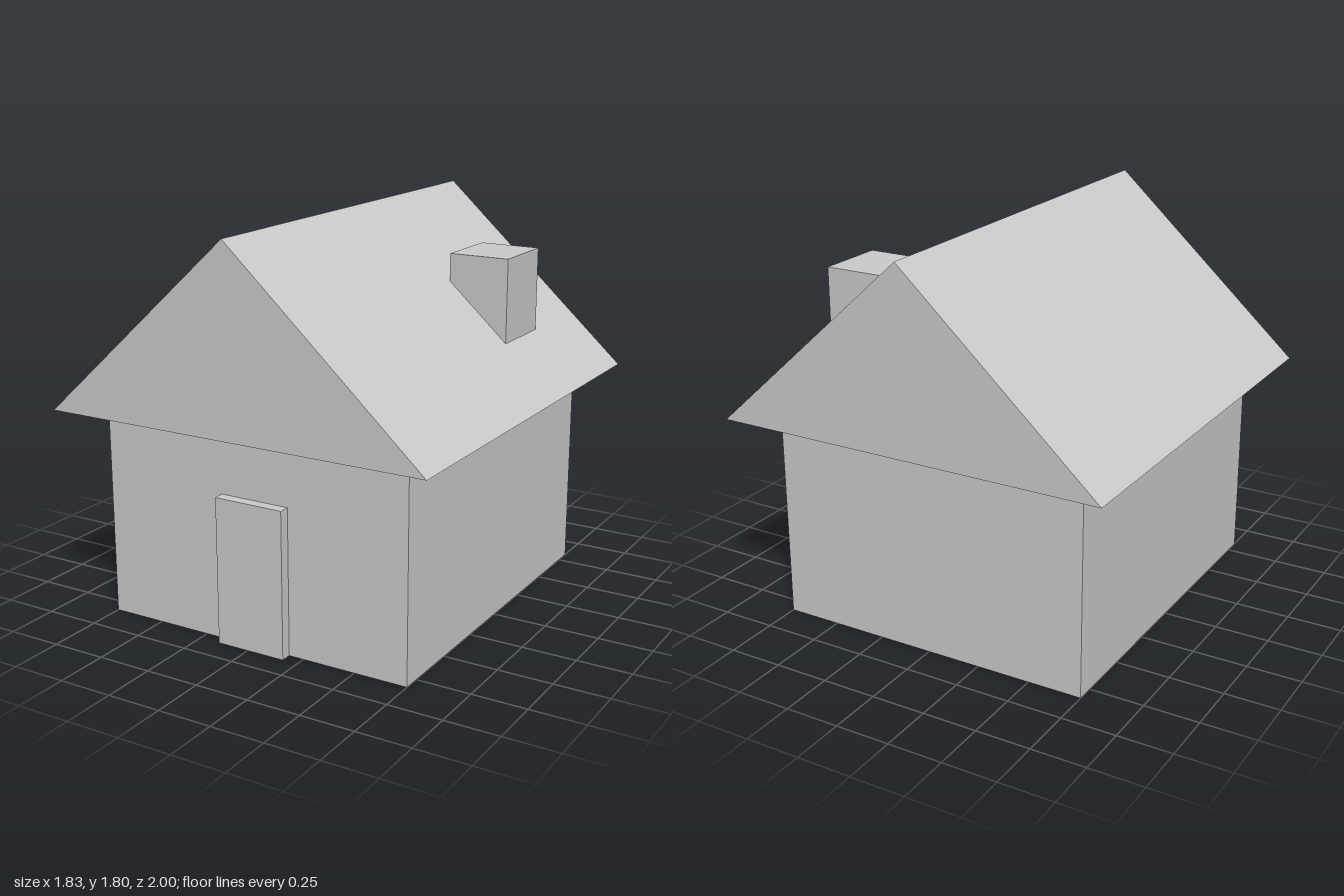
import * as THREE from 'three';

export function createModel() {
  const house = new THREE.Group();
  house.name = 'house';
  const plaster = new THREE.MeshStandardMaterial({ color: 0xcccccc });
  plaster.name = 'light grey';

  function add(name, geometry) {
    const mesh = new THREE.Mesh(geometry, plaster);
    mesh.name = name;
    house.add(mesh);
    return mesh;
  }

  // Box given by its lower and upper corners
  function block(name, [x0, y0, z0], [x1, y1, z1]) {
    add(name, new THREE.BoxGeometry(x1 - x0, y1 - y0, z1 - z0))
      .position.set((x0 + x1) / 2, (y0 + y1) / 2, (z0 + z1) / 2);
  }

  const eaves = 0.97;
  block('walls', [-0.75, 0, -0.83], [0.75, eaves, 0.83]);
  block('door', [-0.15, 0, 0.82], [0.18, 0.67, 0.88]);
  block('chimney', [0.375, 1.2, -0.565], [0.66, 1.585, -0.235]);

  // Solid gable roof overhanging the walls on all sides
  const gable = new THREE.Shape();
  gable.moveTo(-0.915, eaves);
  gable.lineTo(0.915, eaves);
  gable.lineTo(0, 1.8);
  gable.closePath();
  add('roof', new THREE.ExtrudeGeometry(gable, { depth: 2, bevelEnabled: false }))
    .position.z = -1;

  return house;
}
